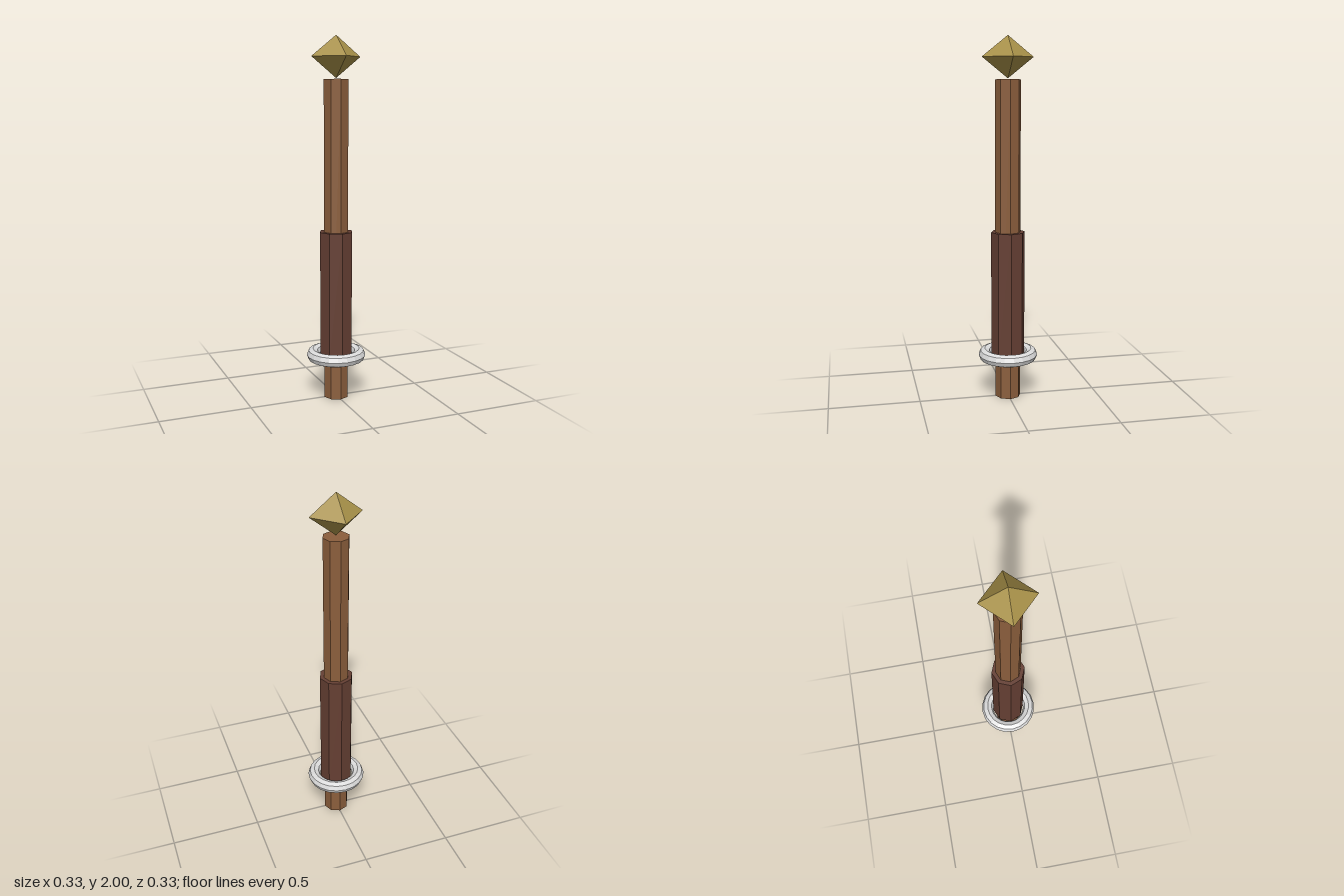
import * as THREE from 'three';

const paint = (name, color) => {
  const m = new THREE.MeshStandardMaterial({ color, flatShading: true });
  m.name = name;
  return m;
};

export function createModel() {
  const wood = paint('wood', 0x8b5e3c);
  const leather = paint('dark leather', 0x653f33);
  const silver = paint('silver', 0xdcdcdc);
  const gold = paint('gold', 0xa89149);

  const group = new THREE.Group();
  group.name = 'wand';
  const add = (name, geometry, material, y) => {
    const mesh = new THREE.Mesh(geometry, material);
    mesh.name = name;
    mesh.position.y = y;
    group.add(mesh);
  };
  // Eight-sided rod between two heights
  const rod = (name, radius, bottom, top, material) =>
    add(name, new THREE.CylinderGeometry(radius, radius, top - bottom, 8), material, (bottom + top) / 2);

  rod('shaft', 0.071, 0, 1.769, wood);
  rod('grip', 0.094, 0.236, 0.943, leather);

  // Loose ring lying flat around the lower end of the grip
  add('ring', new THREE.TorusGeometry(0.13, 0.035, 8, 20).rotateX(Math.PI / 2), silver, 0.243);

  // Flattened eight-faced gem balanced on the tip
  add('gem', new THREE.OctahedronGeometry(0.141).scale(1, 0.8, 1), gold, 1.887);

  return group;
}
